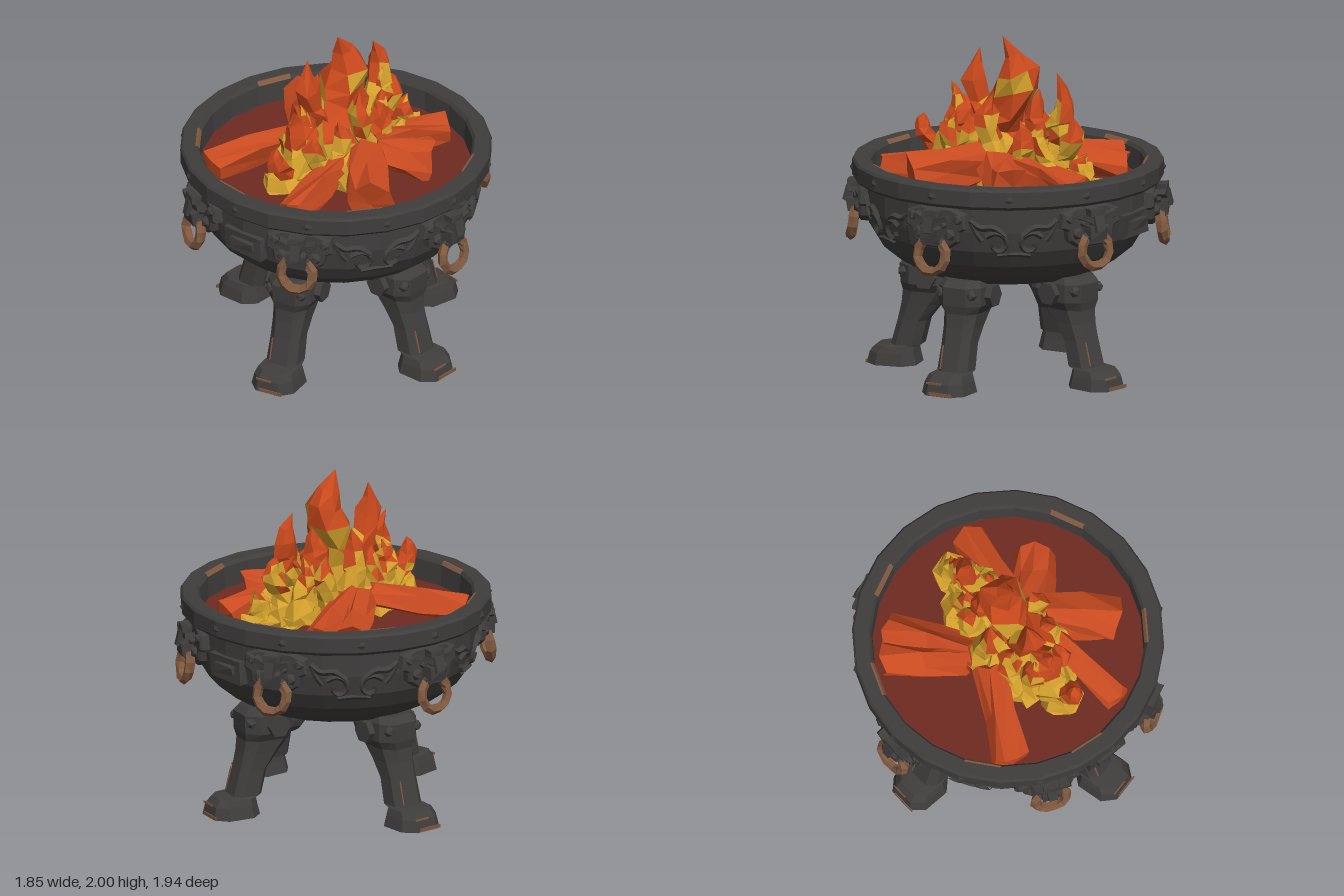
import * as THREE from 'three';

const mat = (name, color) => Object.assign(new THREE.MeshStandardMaterial({ color }), { name });

// Small seeded noise
let seed = 7;
const rnd = () => (seed = (seed * 16807) % 2147483647) / 2147483647 - 0.5;
const hash = (x, y, z) => {
  const s = Math.sin(Math.round(x * 500) * 12.99 + Math.round(y * 500) * 78.23 + Math.round(z * 500) * 37.72) * 43758.5;
  return s - Math.floor(s) - 0.5;
};

// Faceted copy of a geometry, optionally roughened; coincident corners move together
function facet(geo, rough = 0) {
  const g = geo.index ? geo.toNonIndexed() : geo, p = g.attributes.position;
  for (let i = 0; rough && i < p.count; i++) {
    const x = p.getX(i), y = p.getY(i), z = p.getZ(i);
    p.setXYZ(i, x + hash(x, y, z) * rough, y + hash(y, z, x) * rough, z + hash(z, x, y) * rough);
  }
  g.computeVertexNormals();
  return g;
}

function add(parent, name, geo, material, x = 0, y = 0, z = 0, rx = 0, ry = 0, rz = 0) {
  const m = new THREE.Mesh(geo, material);
  m.name = name;
  m.position.set(x, y, z);
  m.rotation.set(rx, ry, rz);
  parent.add(m);
  return m;
}

function group(parent, name, degrees = 0) {
  const g = new THREE.Group();
  g.name = name;
  g.rotation.y = THREE.MathUtils.degToRad(degrees);
  parent.add(g);
  return g;
}

const box = (w, h, d, rough = 0.015) => facet(new THREE.BoxGeometry(w, h, d), rough);
const lump = r => facet(new THREE.IcosahedronGeometry(r));
const lathe = (pts, n = 24, start = 0, len = Math.PI * 2) =>
  facet(new THREE.LatheGeometry(pts.map(p => new THREE.Vector2(...p)), n, start, len));

const BOWL = [[0, 0.575], [0.32, 0.585], [0.5, 0.62], [0.64, 0.69], [0.75, 0.78], [0.81, 0.88], [0.835, 1.0], [0.835, 1.16]];
function bowlRadius(y) {
  const i = Math.max(1, BOWL.findIndex(p => p[1] >= y)), [a, b] = [BOWL[i - 1], BOWL[i]];
  return a[0] + (b[0] - a[0]) * (y - a[1]) / (b[1] - a[1]);
}

// Leg: rows of [y, radial centre, half width, half depth], top to bottom
const LEG = [[0.65, 0.47, 0.12, 0.13], [0.61, 0.48, 0.14, 0.16], [0.5, 0.48, 0.14, 0.155], [0.45, 0.48, 0.11, 0.145],
  [0.37, 0.52, 0.1, 0.115], [0.27, 0.57, 0.095, 0.088], [0.12, 0.61, 0.1, 0.09], [0.11, 0.675, 0.11, 0.115],
  [0.07, 0.69, 0.125, 0.135], [0, 0.69, 0.14, 0.15]];
function legGeometry() {
  const n = LEG.length - 1, g = new THREE.CylinderGeometry(1, 1, 1, 8, n), p = g.attributes.position;
  g.rotateY(Math.PI / 8);
  const square = v => Math.sign(v) * Math.min(1, Math.abs(v) * 1.08) ** 0.7;
  for (let i = 0; i < p.count; i++) {
    const [y, c, w, d] = LEG[Math.round((0.5 - p.getY(i)) * n)];
    p.setXYZ(i, square(p.getX(i)) * w, y, c + square(p.getZ(i)) * d);
  }
  return facet(g);
}

// Beast mask with hanging ring
function buildMask(parent, degrees, iron, bronze) {
  const g = group(parent, 'beastMask', degrees);
  const half = [[0.1, 1.13], [0.18, 1.1], [0.19, 1.03], [0.15, 1.01], [0.14, 0.95], [0.08, 0.91]];
  const outline = [...half, ...half.map(([x, y]) => [-x, y]).reverse()];
  const s = new THREE.Shape(outline.map(p => new THREE.Vector2(...p)));
  add(g, 'mane', facet(new THREE.ExtrudeGeometry(s, { depth: 0.05, bevelSize: 0.012, bevelThickness: 0.015, bevelSegments: 1 })), iron, 0, 0, 0.8);
  add(g, 'muzzle', box(0.12, 0.08, 0.09), iron, 0, 0.99, 0.895);
  add(g, 'nose', box(0.06, 0.09, 0.07), iron, 0, 1.04, 0.92, -0.3);
  add(g, 'jaw', box(0.14, 0.03, 0.06), iron, 0, 0.94, 0.885);
  add(g, 'crest', box(0.1, 0.05, 0.07), iron, 0, 1.11, 0.905);
  for (const k of [-1, 1]) {
    add(g, 'brow', box(0.09, 0.035, 0.06), iron, k * 0.07, 1.08, 0.9, 0, 0, k * 0.35);
    add(g, 'eye', lump(0.025), iron, k * 0.065, 1.045, 0.88);
    add(g, 'cheek', lump(0.04), iron, k * 0.1, 0.985, 0.86);
    add(g, 'ear', lump(0.04), iron, k * 0.15, 1.08, 0.85);
  }
  const ring = group(g, 'ring');
  ring.position.set(0, degrees % 180 ? 0.885 : 0.86, 0.905);
  ring.rotation.x = -0.15;
  const start = Math.PI * 0.72;
  add(ring, 'ringLower', facet(new THREE.TorusGeometry(0.097, 0.03, 5, 9, Math.PI * 1.56), 0.01), bronze, 0, 0, 0, 0, 0, start);
  add(ring, 'ringTop', facet(new THREE.TorusGeometry(0.097, 0.03, 5, 3, Math.PI * 0.44), 0.01), iron, 0, 0, 0, 0, 0, Math.PI - start);
}

// Raised cloud scroll wrapped onto the bowl
function buildScroll(parent, degrees, iron) {
  const g = group(parent, 'cloudScroll', degrees);
  const stroke = (pts, r) => {
    const path = new THREE.CatmullRomCurve3(pts.map(([u, y]) => {
      const R = bowlRadius(y) - 0.002;
      return new THREE.Vector3(Math.sin(u / 0.83) * R, y, Math.cos(u / 0.83) * R);
    }));
    add(g, 'scrollStroke', facet(new THREE.TubeGeometry(path, 14, r, 4)), iron);
  };
  for (const k of [-1, 1]) {
    stroke([[k * 0.26, 1.07], [k * 0.2, 1.03], [k * 0.12, 1.03], [k * 0.05, 0.98]], 0.02);
    stroke([[k * 0.26, 1.07], [k * 0.22, 0.99], [k * 0.19, 0.95]], 0.016);
    const spiral = [];
    for (let i = 0; i < 8; i++) {
      const a = 0.6 + i * 0.85, r = 0.08 - i * 0.008;
      spiral.push([k * (0.1 + Math.cos(a) * r), 0.93 + Math.sin(a) * r]);
    }
    stroke(spiral, 0.017);
  }
  stroke([[-0.1, 0.86], [0, 0.87], [0.1, 0.86]], 0.016);
}

// Main flame tongues: [base x, base z, tip x, tip z, tip y, radius, bend, gold share]
const FLAMES = [
  [0.03, 0, -0.02, 0.03, 2.0, 0.21, -0.09, 0.5], [-0.08, 0.02, -0.21, -0.04, 1.9, 0.14, 0.05, 0.5],
  [-0.3, 0.03, -0.38, 0, 1.69, 0.13, -0.05, 0.45], [-0.46, 0, -0.55, 0.02, 1.48, 0.11, 0.04, 0.45],
  [0.2, 0, 0.2, -0.02, 1.7, 0.14, 0.03, 0.55], [0.28, 0.02, 0.33, 0, 1.81, 0.12, -0.07, 0.45],
  [0.4, 0.03, 0.43, 0.02, 1.57, 0.11, -0.04, 0.7], [0.5, 0.05, 0.57, 0.06, 1.37, 0.1, 0.03, 0.85]];

// Lower tongues in an oval around them
function skirtFlames() {
  return Array.from({ length: 12 }, (_, k) => {
    const c = Math.cos(k * Math.PI / 6), s = Math.sin(k * Math.PI / 6);
    return [0.36 * c, 0.02 + 0.2 * s, 0.34 * c, 0.02 + 0.16 * s, k % 3 ? 1.54 : 1.68, 0.115, k % 2 ? 0.03 : -0.03, 0.72];
  });
}

function flameTriangles([bx, bz, tx, tz, top, r, bend, gold], goldOut, redOut) {
  const rows = 8, sides = 6, y0 = 1.14, rings = [];
  for (let i = 0; i <= rows; i++) {
    const t = i / rows, rad = r * (1 - t) ** 0.6 * (1 + 0.2 * Math.sin(t * 11)), sway = bend * Math.sin(t * Math.PI * 2);
    rings.push(Array.from({ length: sides }, (_, k) => {
      const a = (k / sides + t * 0.3) * Math.PI * 2, q = rad * (1 + rnd() * 0.6);
      return [bx + (tx - bx) * t + sway + Math.cos(a) * q,
        y0 + (top - y0) * t + (i < rows ? rnd() * 0.9 * rad : 0), bz + (tz - bz) * t + Math.sin(a) * q];
    }));
  }
  for (let i = 0; i < rows; i++) for (let k = 0; k < sides; k++) {
    const n = (k + 1) % sides, A = rings[i], B = rings[i + 1];
    const out = (i + 0.5) / rows + rnd() * 0.5 < gold ? goldOut : redOut;
    out.push(...A[k], ...B[k], ...A[n], ...A[n], ...B[k], ...B[n]);
  }
}

// Logs: [outer x, outer z, inner x, inner z, radius]
const LOGS = [[-0.56, -0.48, -0.08, -0.22, 0.1], [0.38, -0.61, 0.04, -0.28, 0.1], [0.53, -0.47, 0.06, -0.2, 0.1],
  [-0.69, 0.24, -0.12, 0.18, 0.1], [0.64, 0.26, 0.12, 0.18, 0.1], [-0.33, 0.55, -0.04, 0.25, 0.145], [0.28, 0.47, 0.06, 0.26, 0.13]];

export function createModel() {
  const model = new THREE.Group();
  model.name = 'fireBrazier';
  const iron = mat('blackIron', 0x403e3d), bronze = mat('wornBronze', 0x80593f), bed = mat('emberBed', 0x6e2b20);
  const wood = mat('glowingWood', 0xc84a20), red = mat('flameOrange', 0xc8481c), gold = mat('flameGold', 0xd3a02c);

  // Bowl, rim and ember bed
  add(model, 'bowl', lathe(BOWL), iron);
  add(model, 'rim', lathe([[0.82, 1.15], [0.89, 1.15], [0.91, 1.17], [0.912, 1.26], [0.9, 1.275], [0.815, 1.275], [0.8, 1.255], [0.79, 1.1]]), iron);
  add(model, 'emberBed', new THREE.CircleGeometry(0.8, 32), bed, 0, 1.13, 0, -Math.PI / 2);
  for (const k of [1, 7, 10, 14, 17, 21])
    add(model, 'rimWear', lathe([[0.823, 1.278], [0.812, 1.278], [0.797, 1.257]], 1, k * Math.PI / 12, Math.PI / 12), bronze);
  for (let k = 0; k < 12; k++)
    add(group(model, 'rimStud', k * 30), 'stud', facet(new THREE.ConeGeometry(0.03, 0.016, 5)), iron, 0, 1.215, 0.915, Math.PI / 2);

  // Masks, scrolls and side plaques
  for (const d of [0, 64, 116, 180, 244, 296]) buildMask(model, d, iron, bronze);
  for (const d of [32, 148, 212, 328]) buildScroll(model, d, iron);
  for (const d of [90, -90]) {
    const g = group(model, 'plaque', d);
    add(g, 'plaqueFrame', box(0.27, 0.14, 0.05), iron, 0.015, 0.965, 0.825);
    add(g, 'plaquePanel', box(0.17, 0.06, 0.04), iron, 0.015, 0.965, 0.85);
  }

  // Legs: front, back and two sides turned slightly forward
  for (const d of [0, 180, 78, -78]) {
    const g = group(model, 'leg', d);
    add(g, 'legPost', legGeometry(), iron);
    add(g, 'innerLobe', facet(new THREE.IcosahedronGeometry(0.1, 1)), iron, 0, 0.55, 0.31);
    add(g, 'footWear', box(0.15, 0.02, 0.006, 0), bronze, 0.02, 0.012, 0.839);
    add(g, 'toeWear', box(0.1, 0.012, 0.006, 0), bronze, -0.03, 0.072, 0.826);
    add(g, 'shankWear', box(0.008, 0.14, 0.006, 0), bronze, -0.06, 0.2, 0.677, -0.25);
    for (const k of [-1, 1]) {
      add(g, 'legScroll', facet(new THREE.CylinderGeometry(0.07, 0.07, 0.1, 6)), iron, k * 0.13, 0.55, 0.46, 0, 0, Math.PI / 2);
      add(g, 'legCurl', lump(0.035), iron, k * 0.1, 0.57, 0.61);
    }
  }

  // Logs leaning towards the middle
  for (const [ox, oz, ix, iz, r] of LOGS) {
    const a = new THREE.Vector3(ox, 1.07 + r, oz), b = new THREE.Vector3(ix, 1.28, iz), dir = b.clone().sub(a);
    const log = add(model, 'log', facet(new THREE.CylinderGeometry(r * 0.8, r, dir.length(), 8, 2), 0.05), wood);
    log.position.copy(a).add(b).multiplyScalar(0.5);
    log.quaternion.setFromUnitVectors(new THREE.Vector3(0, 1, 0), dir.normalize());
  }

  // Flames
  seed = 7;
  const goldTris = [], redTris = [];
  for (const f of [...FLAMES, ...skirtFlames()]) flameTriangles(f, goldTris, redTris);
  for (const [name, tris, m] of [['flameCore', goldTris, gold], ['flameTips', redTris, red]]) {
    const g = new THREE.BufferGeometry().setAttribute('position', new THREE.Float32BufferAttribute(tris, 3));
    add(model, name, facet(g), m);
  }
  return model;
}
